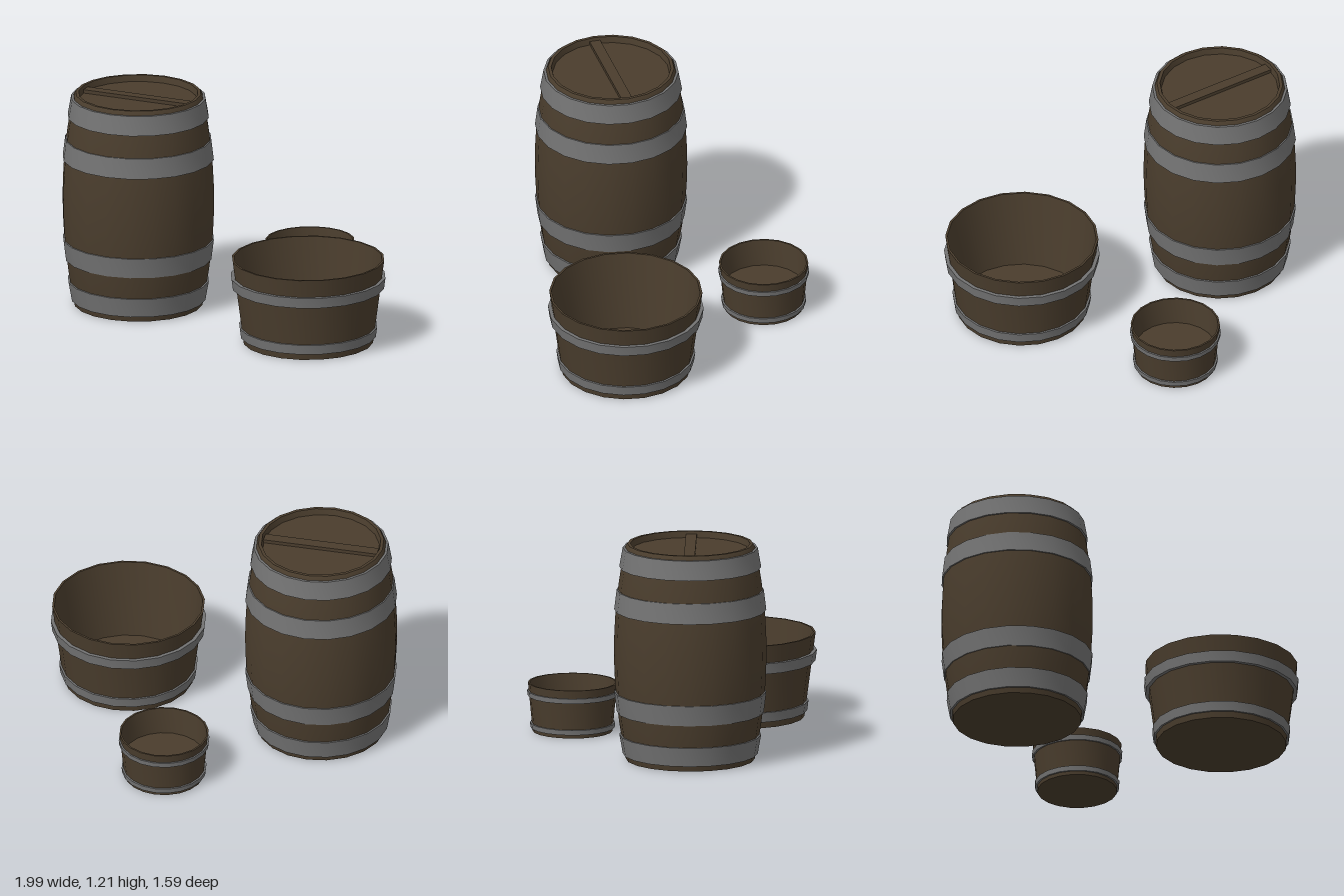
import * as THREE from 'three';
import { toCreasedNormals } from 'three/addons/utils/BufferGeometryUtils.js';

const SIDES = 20;
const wood = new THREE.MeshStandardMaterial({ color: 0x4a3d2d });
const iron = new THREE.MeshStandardMaterial({ color: 0x737373 });

// Solid of revolution; the profile runs [radius, height] up the outside and back down the inside
function turned(name, profile, material) {
  const points = profile.map(([r, y]) => new THREE.Vector2(r, y));
  const geometry = toCreasedNormals(new THREE.LatheGeometry(points, SIDES), 0.5);
  const mesh = new THREE.Mesh(geometry, material);
  mesh.name = name;
  return mesh;
}

// Tapered iron band with an inner face sunk into the staves
function hoop(name, y0, r0, y1, r1) {
  const sink = 0.03;
  return turned(name, [[r0 - sink, y0], [r0, y0], [r1, y1], [r1 - sink, y1], [r0 - sink, y0]], iron);
}

function createBarrel() {
  const barrel = new THREE.Group();
  barrel.name = 'barrel';
  const height = 1.21;

  // Bulging staves, rounded rim and recessed lid
  const profile = [[0, 0], [0.355, 0]];
  for (let i = 1; i <= 11; i++) {
    const y = i * 0.1;
    const u = (y - height / 2) / (height / 2);
    profile.push([0.355 + 0.065 * (1 - u * u), y]);
  }
  profile.push([0.357, 1.195], [0.347, height], [0.33, height], [0.322, 1.175], [0, 1.175]);
  barrel.add(turned('barrelBody', profile, wood));

  // Hoops mirrored about the middle of the barrel
  for (const [name, y0, r0, y1, r1] of [['endHoop', 0.03, 0.372, 0.138, 0.391], ['bellyHoop', 0.265, 0.405, 0.378, 0.419]]) {
    barrel.add(hoop(name + 'Lower', y0, r0, y1, r1));
    barrel.add(hoop(name + 'Upper', height + 0.007 - y1, r1, height + 0.007 - y0, r0));
  }

  // Plank across the lid
  const plank = new THREE.Mesh(new THREE.BoxGeometry(0.64, 0.025, 0.06), wood);
  plank.name = 'lidPlank';
  plank.position.y = 1.182;
  barrel.add(plank);
  return barrel;
}

// Open tub: tapered outer wall, thin rim, inner wall and floor
function createTub(name, { height, base, top, wall, floor, hoops }) {
  const tub = new THREE.Group();
  tub.name = name;
  const radiusAt = (y) => base + (top - base) * (y / height);
  tub.add(turned(name + 'Body', [
    [0, 0], [base, 0], [top, height], [top - wall, height],
    [radiusAt(floor) - wall, floor], [0, floor],
  ], wood));
  hoops.forEach(([y0, y1, lift], i) => {
    const sink = lift + wall * 0.5;
    const r0 = radiusAt(y0), r1 = radiusAt(y1);
    tub.add(turned(name + (i ? 'UpperHoop' : 'LowerHoop'), [
      [r0 + lift - sink, y0], [r0 + lift, y0], [r1 + lift, y1], [r1 + lift - sink, y1], [r0 + lift - sink, y0],
    ], iron));
  });
  return tub;
}

export function createModel() {
  const model = new THREE.Group();
  model.name = 'barrelAndTubs';

  const barrel = createBarrel();
  barrel.position.set(-0.58, 0, 0.115);

  const largeTub = createTub('largeTub', {
    height: 0.475, base: 0.36, top: 0.422, wall: 0.012, floor: 0.03,
    hoops: [[0.035, 0.09, 0.011], [0.315, 0.375, 0.02]],
  });
  largeTub.position.set(0.565, 0, 0.362);

  const smallTub = createTub('smallTub', {
    height: 0.273, base: 0.22, top: 0.246, wall: 0.01, floor: 0.12,
    hoops: [[0.02, 0.048, 0.01], [0.2, 0.228, 0.009]],
  });
  smallTub.position.set(0.155, 0, -0.547);

  model.add(barrel, largeTub, smallTub);
  return model;
}
